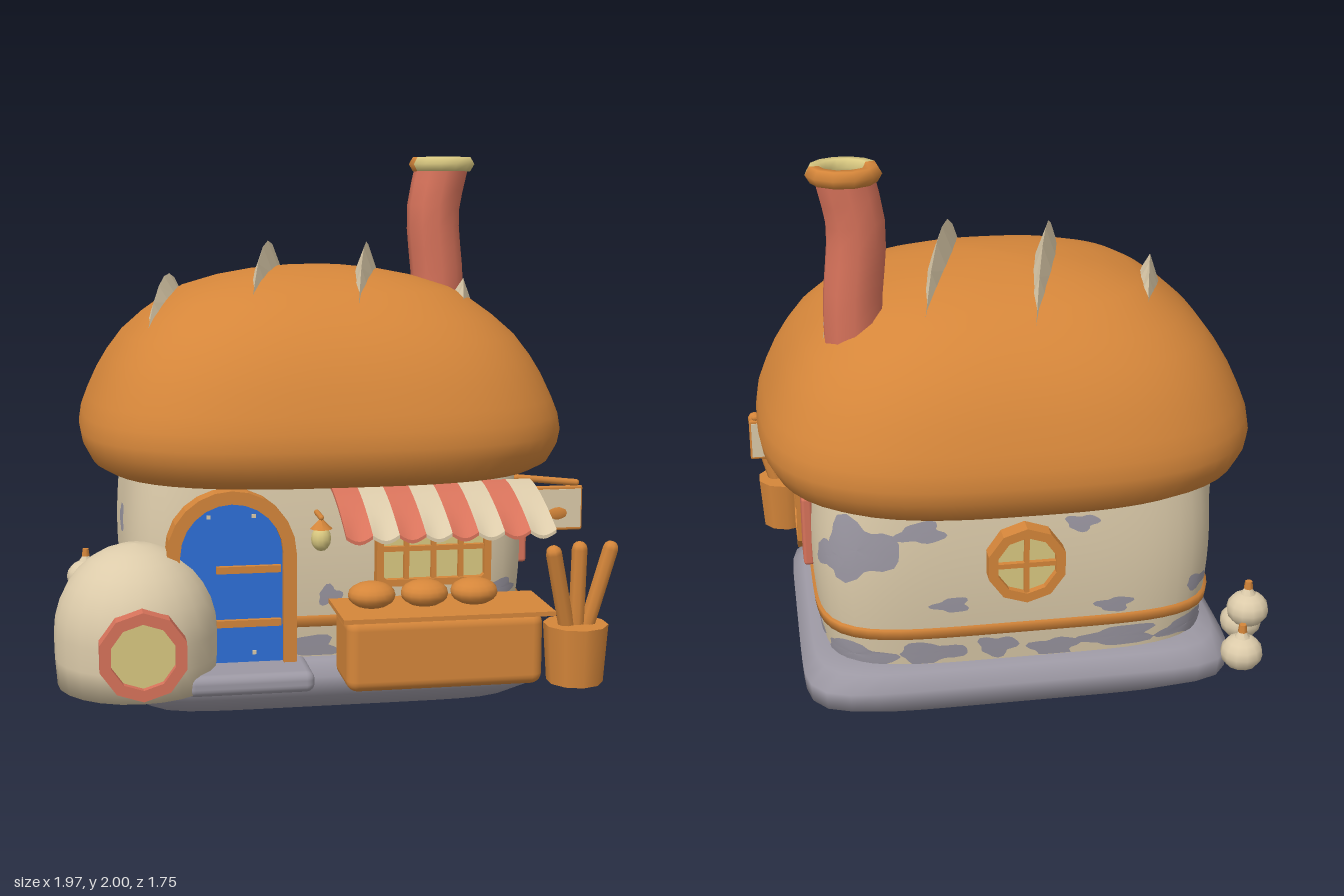
import * as THREE from 'three';
import { RoundedBoxGeometry } from 'three/addons/geometries/RoundedBoxGeometry.js';

const mat = (name, color, opts = {}) => {
  const m = new THREE.MeshStandardMaterial({ color, ...opts });
  m.name = name;
  return m;
};

// Surface from rows x cols points; normal is (row direction) x (column direction)
function grid(rows, cols, closed, fn) {
  const pos = [], idx = [];
  for (let i = 0; i < rows; i++) for (let j = 0; j < cols; j++) pos.push(...fn(i, j));
  for (let i = 0; i < rows - 1; i++) for (let j = 0; j < (closed ? cols : cols - 1); j++) {
    const a = i * cols + j, b = i * cols + (j + 1) % cols, c = a + cols, d = b + cols;
    idx.push(a, c, b, b, c, d);
  }
  const g = new THREE.BufferGeometry();
  g.setAttribute('position', new THREE.Float32BufferAttribute(pos, 3));
  g.setIndex(idx);
  g.computeVertexNormals();
  return g;
}

// Rounded-square outline at polar angle a
function squircle(a, hx, hz, n) {
  const c = Math.cos(a), s = Math.sin(a);
  const r = (Math.abs(c / hx) ** n + Math.abs(s / hz) ** n) ** (-1 / n);
  return [r * c, r * s];
}
// Stack of squircles; levels are [y, halfX, halfZ, exponent]
const loft = (levels, cx, cz, seg = 72) => grid(levels.length, seg, true, (i, j) => {
  const [y, hx, hz, n] = levels[i], [x, z] = squircle(j / seg * Math.PI * 2, hx, hz, n);
  return [cx + x, y, cz + z];
});

const poly = pts => new THREE.Shape(pts.map(p => new THREE.Vector2(...p)));
const chamfered = (w, h, c) => [[w, h - c], [w - c, h], [c - w, h], [-w, h - c], [-w, c - h], [c - w, -h], [w - c, -h], [w, c - h]];
const ngon = (r, n) => Array.from({ length: n }, (_, i) => {
  const a = (i + 0.5) / n * Math.PI * 2;
  return [r * Math.cos(a), r * Math.sin(a)];
});
const arch = (w, h) => {
  const pts = [[-w, 0], [w, 0]];
  for (let i = 0; i <= 12; i++) pts.push([w * Math.cos(i / 12 * Math.PI), h + w * Math.sin(i / 12 * Math.PI)]);
  return pts;
};
const extrude = (shape, depth) => new THREE.ExtrudeGeometry(shape, { depth, bevelEnabled: false });

export function createModel() {
  const root = new THREE.Group();
  root.name = 'breadBakery';
  const crust = mat('crustOrange', 0xd5863a), cream = mat('cream', 0xdccbaa), red = mat('brickRed', 0xd8735b);
  const blue = mat('doorBlue', 0x2e70d8), glow = mat('paleYellow', 0xdac981), stone = mat('stoneGrey', 0x9c98a3);

  const add = (name, geo, m, x = 0, y = 0, z = 0, parent = root) => {
    const mesh = new THREE.Mesh(geo, m);
    mesh.name = name;
    mesh.position.set(x, y, z);
    parent.add(mesh);
    return mesh;
  };
  const rod = (name, p, q, r, m) => {
    const a = new THREE.Vector3(...p), b = new THREE.Vector3(...q), d = b.clone().sub(a);
    const mesh = add(name, new THREE.CapsuleGeometry(r, d.length(), 3, 8), m);
    mesh.position.copy(a.add(b).multiplyScalar(0.5));
    mesh.quaternion.setFromUnitVectors(new THREE.Vector3(0, 1, 0), d.normalize());
  };
  // Framed pane with bars, facing +z
  const framed = (name, outer, inner, m, depth, vBars, hBars, pane = glow) => {
    const g = new THREE.Group();
    g.name = name;
    const ring = poly(outer);
    ring.holes.push(poly(inner));
    add(name + 'Frame', extrude(ring, depth), m, 0, 0, 0, g);
    add(name + 'Pane', extrude(poly(inner), 0.008), pane, 0, 0, depth - 0.035, g);
    const w = Math.max(...inner.map(p => p[0])), h = Math.max(...inner.map(p => p[1]));
    for (const x of vBars) add(name + 'Bar', new THREE.BoxGeometry(0.018, 2 * h, 0.025), m, x, 0, depth - 0.02, g);
    for (const y of hBars) add(name + 'Bar', new THREE.BoxGeometry(2 * w, 0.018, 0.025), m, 0, y, depth - 0.02, g);
    root.add(g);
    return g;
  };

  // Stone base
  add('stoneBase', loft([[0, 0.001, 0.001, 9], [0, 0.7, 0.56, 7], [0.07, 0.8, 0.655, 8], [0.14, 0.805, 0.66, 8],
    [0.19, 0.76, 0.615, 7], [0.21, 0.68, 0.54, 7], [0.21, 0.001, 0.001, 7]], 0.025, -0.08), stone);

  // Walls with a gentle bulge
  const bulge = y => 0.96 + 0.04 * Math.sin(Math.PI * (y - 0.2) / 0.72);
  const wallLevel = (y, k = 1) => [y, 0.75 * bulge(y) * k, 0.61 * bulge(y) * k, 5];
  add('walls', loft(Array.from({ length: 15 }, (_, i) => wallLevel(0.2 + i * 0.05)), 0.02, -0.07, 96), cream);
  add('wallBand', loft([wallLevel(0.315, 0.98), wallLevel(0.316, 1.016), wallLevel(0.355, 1.016), wallLevel(0.356, 0.98)], 0.02, -0.07, 96), crust);

  // Stone patches following the wall: [angle, height, half angle, half height]
  const patches = [[-43, 0.67, 9, 0.11], [-34, 0.62, 5, 0.05], [-58, 0.74, 6, 0.04], [-66, 0.45, 5, 0.03], [-118, 0.4, 5, 0.03],
    [-108, 0.74, 5, 0.03], [-141, 0.43, 4, 0.03], [93, 0.43, 4, 0.035], [42, 0.42, 5, 0.03], [165, 0.66, 6, 0.05]];
  for (let i = 0; i < 18; i++) patches.push([i * 20, 0.25 + 0.015 * Math.sin(i * 2.3), 8.5 + 2 * Math.sin(i * 1.7), 0.042]);
  patches.forEach(([deg, y0, dDeg, dy], k) => add('stonePatch', grid(5, 24, true, (i, j) => {
    const a = j / 24 * Math.PI * 2, r = (i / 4 + 0.001) * (1 + 0.2 * Math.sin(3 * a + k) + 0.12 * Math.sin(5 * a + 2 * k));
    const y = Math.max(0.205, y0 + dy * r * Math.cos(a));
    const [, hx, hz, n] = wallLevel(y, 1.008);
    const [x, z] = squircle(THREE.MathUtils.degToRad(deg + dDeg * r * Math.sin(a)), hx, hz, n);
    return [0.02 + x, y, -0.07 + z];
  }), stone));

  // Loaf roof
  const roof = [[0.9, 0.7], [0.845, 0.84], [0.84, 0.9], [0.87, 0.955], [0.93, 0.99], [0.98, 1], [1.04, 0.99], [1.1, 0.965], [1.18, 0.925],
    [1.25, 0.88], [1.33, 0.815], [1.4, 0.73], [1.46, 0.64], [1.5, 0.56], [1.54, 0.42], [1.565, 0.28], [1.58, 0.13], [1.583, 0.001]];
  add('loafRoof', loft(roof.map(([y, s]) => [y, 0.91 * s, 0.8 * s, 2.4 + 0.6 * Math.min(1, s * 1.05)]), 0.033, -0.08), crust);
  const roofY = (x, z) => {
    const s = (Math.abs((x - 0.033) / 0.91) ** 2.8 + Math.abs((z + 0.08) / 0.8) ** 2.8) ** (1 / 2.8);
    for (let i = roof.length - 1; i > 6; i--) {
      const [y1, s1] = roof[i], [y0, s0] = roof[i - 1];
      if (s <= s0) return y1 + (y0 - y1) * Math.max(0, s - s1) / (s0 - s1);
    }
    return 1;
  };

  // Raised scoring ridges: back end to front end
  for (const [x0, z0, x1, z1, h] of [[-0.46, -0.42, -0.63, 0.23, 0.08], [-0.02, -0.6, -0.26, 0.34, 0.1],
    [0.35, -0.51, 0.11, 0.43, 0.1], [0.7, -0.37, 0.545, 0.24, 0.07]]) {
    const g = grid(7, 3, false, (i, j) => {
      const t = i / 6, k = Math.sin(Math.PI * t) ** 0.8, z = z0 + (z1 - z0) * t;
      const xc = x0 + (x1 - x0) * t, x = xc + (j - 1) * 0.045 * k;
      return [x, j === 1 ? roofY(xc, z) + h * k : roofY(x, z) - 0.02, z];
    }).toNonIndexed();
    g.computeVertexNormals();
    add('scoreRidge', g, cream);
  }

  // Crooked chimney and two-tone rim
  const bend = new THREE.CatmullRomCurve3([[0.59, 1.3], [0.59, 1.5], [0.57, 1.78], [0.605, 1.96]].map(([x, y]) => new THREE.Vector3(x, y, -0.365)));
  add('chimney', new THREE.TubeGeometry(bend, 8, 0.106, 10), red);
  add('chimneyTop', new THREE.CircleGeometry(0.1, 10).rotateX(-Math.PI / 2), crust, 0.605, 1.945, -0.365);
  for (const [m, start, arc] of [[glow, -0.1, 2.9], [crust, 2.8, Math.PI * 2 - 2.9]])
    add('chimneyRim', new THREE.TorusGeometry(0.1, 0.033, 6, 6, arc).rotateZ(start).rotateX(Math.PI / 2), m, 0.605, 1.968, -0.365);

  // Door and step
  const door = framed('door', arch(0.23, 0.4), arch(0.183, 0.4), crust, 0.1, [], [], blue);
  door.position.set(-0.37, 0.2, 0.49);
  for (const y of [0.15, 0.345]) add('doorHinge', new THREE.BoxGeometry(0.23, 0.025, 0.02), crust, 0.06, y, 0.083, door);
  for (const y of [0.04, 0.535]) for (const x of [-0.08, 0.08])
    add('doorStud', new THREE.BoxGeometry(0.014, 0.014, 0.01), cream, x, y, 0.075, door);
  add('doorStep', new RoundedBoxGeometry(0.45, 0.075, 0.25, 3, 0.03), stone, -0.32, 0.167, 0.605);

  // Domed oven
  const dome = [[0.001, 0.14], [0.28, 0.14], [0.288, 0.24], [0.29, 0.33]];
  for (let i = 1; i <= 8; i++) dome.push([0.29 * Math.cos(i / 8 * Math.PI / 2), 0.33 + 0.31 * Math.sin(i / 8 * Math.PI / 2)]);
  add('oven', new THREE.LatheGeometry(dome.map(p => new THREE.Vector2(...p)), 24), cream, -0.705, 0, 0.51);
  framed('ovenMouth', ngon(0.155, 10), ngon(0.115, 10), red, 0.13, [], []).position.set(-0.7, 0.315, 0.7);

  // Windows and shutters
  framed('frontWindow', chamfered(0.21, 0.135, 0.01), chamfered(0.185, 0.11, 0.01), crust, 0.09, [-0.1, 0, 0.1], [0])
    .position.set(0.36, 0.6, 0.5);
  const side = framed('sideWindow', chamfered(0.14, 0.15, 0.05), chamfered(0.115, 0.125, 0.045), crust, 0.08, [0], [0]);
  side.position.set(0.735, 0.59, -0.02);
  side.rotation.y = Math.PI / 2;
  const back = framed('roundWindow', ngon(0.145, 10), ngon(0.11, 10), crust, 0.1, [0], [0]);
  back.position.set(0.03, 0.615, -0.64);
  back.rotation.y = Math.PI;
  for (const z of [0.195, -0.235]) add('shutter', new RoundedBoxGeometry(0.04, 0.275, 0.14, 2, 0.012), red, 0.78, 0.595, z);

  // Striped awning with scalloped edge
  for (let i = 0; i < 8; i++) {
    const w = 0.0925, g = new THREE.BoxGeometry(w, 0.012, 1, 6, 1, 6), p = g.attributes.position;
    for (let k = 0; k < p.count; k++) {
      const t = p.getZ(k) + 0.5, u = p.getX(k) / w;
      p.setY(k, p.getY(k) + 0.825 - 0.12 * t ** 1.5 - 0.02 * t ** 4 * Math.cos(Math.PI * u));
      p.setZ(k, 0.52 + 0.325 * t);
    }
    g.computeVertexNormals();
    add('awningStripe', g, i % 2 ? cream : red, -0.01 + (i + 0.5) * w);
  }

  // Counter with buns
  add('counter', new RoundedBoxGeometry(0.7, 0.26, 0.26, 3, 0.04), crust, 0.35, 0.28, 0.7);
  add('counterTop', new THREE.BoxGeometry(0.75, 0.016, 0.3), crust, 0.355, 0.415, 0.71);
  for (const x of [0.11, 0.3, 0.48])
    add('bun', new THREE.SphereGeometry(1, 16, 10).scale(0.085, 0.048, 0.075), crust, x, 0.465, 0.69);

  // Baguette barrel
  add('barrel', new THREE.CylinderGeometry(0.115, 0.1, 0.21, 10), crust, 0.835, 0.245, 0.76);
  for (const [x, z] of [[0.73, 0.82], [0.84, 0.77], [0.95, 0.78]])
    rod('baguette', [0.835 + (x - 0.835) * 0.25, 0.3, 0.76], [x, 0.62, z], 0.029, crust);

  // Lantern
  rod('lanternArm', [-0.06, 0.735, 0.5], [-0.06, 0.735, 0.635], 0.01, crust);
  add('lanternCap', new THREE.ConeGeometry(0.04, 0.04, 8), crust, -0.06, 0.715, 0.63);
  add('lantern', new THREE.SphereGeometry(1, 12, 8).scale(0.036, 0.045, 0.036), glow, -0.06, 0.66, 0.63);

  // Hanging sign with a loaf emblem on both faces
  rod('signArm', [0.72, 0.81, 0.385], [0.95, 0.785, 0.385], 0.013, crust);
  add('signFrame', new RoundedBoxGeometry(0.2, 0.17, 0.018, 2, 0.008), crust, 0.875, 0.69, 0.385);
  add('signBoard', new THREE.BoxGeometry(0.18, 0.145, 0.026), cream, 0.877, 0.69, 0.385);
  add('signLoaf', new THREE.SphereGeometry(1, 14, 8).scale(0.055, 0.035, 0.018), crust, 0.877, 0.672, 0.385);

  // Garlic bulbs by the back corner
  for (const [x, y, z] of [[-0.8, 0.15, -0.67], [-0.85, 0.27, -0.56], [-0.865, 0.15, -0.44]]) {
    add('garlicBulb', new THREE.SphereGeometry(0.08, 12, 8).scale(1, 0.85, 1), cream, x, y, z);
    add('garlicNeck', new THREE.ConeGeometry(0.035, 0.05, 8), cream, x, y + 0.08, z);
    add('garlicStem', new THREE.CylinderGeometry(0.014, 0.018, 0.03, 6), crust, x, y + 0.1, z);
  }
  return root;
}
